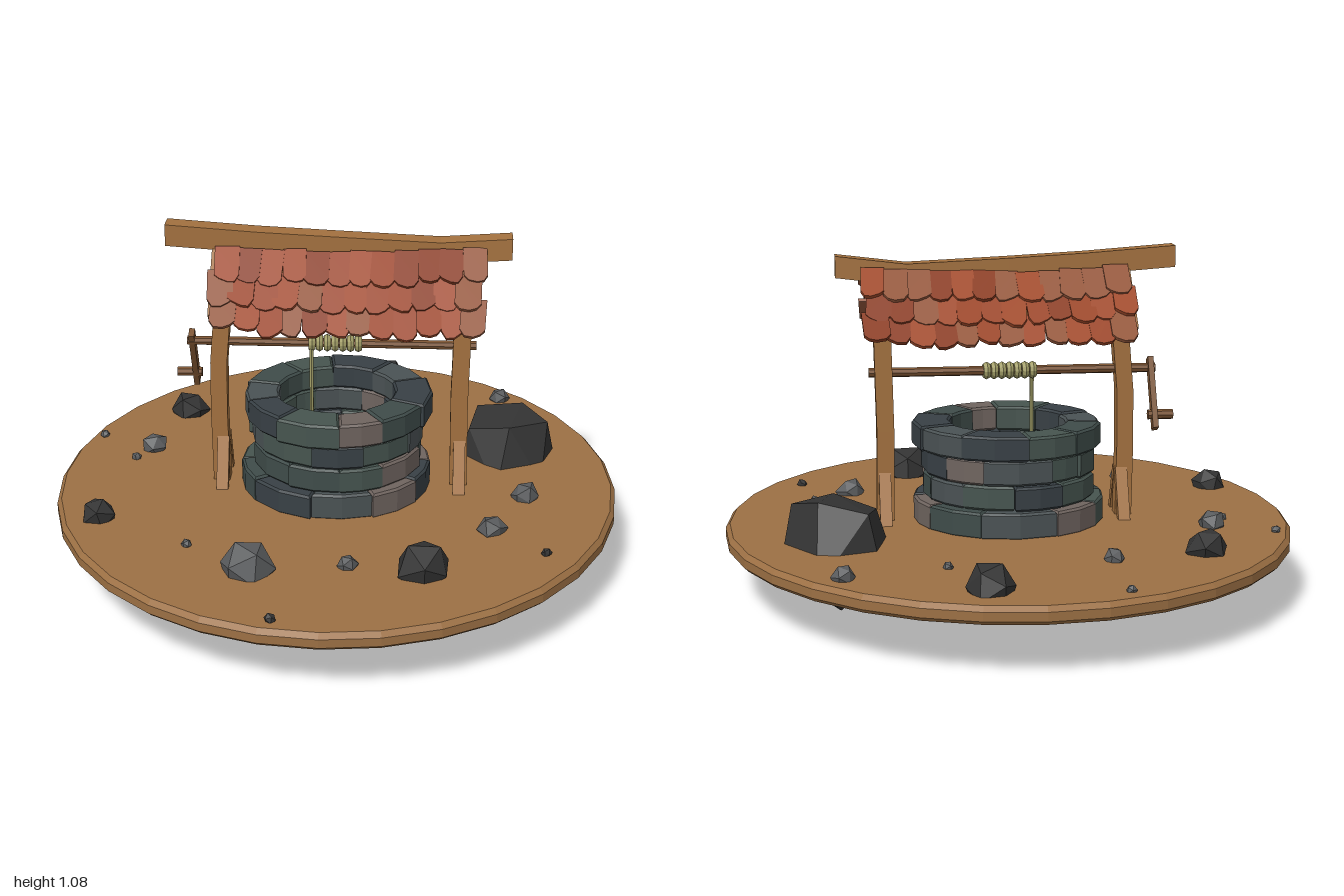
import * as THREE from 'three';
import { ConvexGeometry } from 'three/addons/geometries/ConvexGeometry.js';

const mat = (color, side = THREE.FrontSide) =>
  new THREE.MeshStandardMaterial({ color, flatShading: true, side });
const wood = mat(0xa3713f), darkWood = mat(0x7a5230), earth = mat(0x9c7044), ropeMat = mat(0xa39f68);
const rockMats = [mat(0x5a5c5e), mat(0x333333)];
const stoneMats = [0x46544f, 0x384045, 0x6f645f, 0x3f4c4a, 0x4a5254].map((c) => mat(c));
const tileMats = [0x9a4526, 0x8a3c20, 0x94573b, 0xa04a2a].map((c) => mat(c));

// small seeded generator
let seed = 7;
const rnd = () => (seed = (seed * 16807) % 2147483647) / 2147483647;
const jit = (a) => (rnd() * 2 - 1) * a;
const pick = (list) => list[Math.floor(rnd() * list.length)];

function add(parent, name, geometry, material) {
  const mesh = new THREE.Mesh(geometry, material);
  mesh.name = name;
  parent.add(mesh);
  return mesh;
}

// rectangular timber between two points
function strut(parent, name, a, b, w, h, material = wood) {
  const A = new THREE.Vector3(...a), B = new THREE.Vector3(...b);
  const m = add(parent, name, new THREE.BoxGeometry(w, h, A.distanceTo(B)), material);
  m.position.copy(A).lerp(B, 0.5);
  m.lookAt(B);
  return m;
}

// timber swept through rectangular cross-sections [x, y, z]; axis is 'x' or 'y'
function bentTimber(parent, name, stations, axis, w, d) {
  const n = stations.length - 1;
  const geo = axis === 'y' ? new THREE.BoxGeometry(w, n, d, 1, n, 1) : new THREE.BoxGeometry(n, w, d, n, 1, 1);
  const p = geo.attributes.position;
  for (let i = 0; i < p.count; i++) {
    const t = Math.round((axis === 'y' ? p.getY(i) : p.getX(i)) + n / 2);
    const [x, y, z] = stations[t];
    if (axis === 'y') p.setXYZ(i, x + p.getX(i), y, z + p.getZ(i));
    else p.setXYZ(i, x, y + p.getY(i), z + p.getZ(i));
  }
  return add(parent, name, geo, wood);
}

function rod(parent, name, x0, x1, y, z, r, material) {
  const m = add(parent, name, new THREE.CylinderGeometry(r, r, x1 - x0, 8), material);
  m.rotation.z = Math.PI / 2;
  m.position.set((x0 + x1) / 2, y, z);
  return m;
}

// curved wall stone lying between two angles
function stoneGeometry(a0, a1, rIn, rOut, height) {
  const bevel = 0.007, shape = new THREE.Shape(), pts = [];
  const at = (r, a) => new THREE.Vector2(Math.cos(a) * r, Math.sin(a) * r);
  const mid = (a0 + a1) / 2, g = bevel / rOut, gi = bevel / rIn;
  for (const a of [a0 + g, mid, a1 - g]) pts.push(at(rOut - bevel, a));
  for (const a of [a1 - gi, mid, a0 + gi]) pts.push(at(rIn + bevel, a));
  shape.setFromPoints(pts);
  const geo = new THREE.ExtrudeGeometry(shape, {
    depth: height - 2 * bevel, bevelThickness: bevel, bevelSize: bevel, bevelSegments: 1, steps: 1,
  });
  return geo.translate(0, 0, bevel).rotateX(-Math.PI / 2);
}

function buildWall() {
  const wall = new THREE.Group();
  wall.name = 'stoneWall';
  const courses = [[0.205, 0.085, 0.3], [0.29, 0.08, 0.275], [0.37, 0.08, 0.275], [0.45, 0.08, 0.3]];
  courses.forEach(([y, h, r], row) => {
    const n = 10, cuts = [];
    for (let i = 0; i < n; i++) cuts.push(((i + row * 0.5 + jit(0.2)) / n) * Math.PI * 2);
    cuts.push(cuts[0] + Math.PI * 2);
    for (let i = 0; i < n; i++) {
      const geo = stoneGeometry(cuts[i], cuts[i + 1], 0.19 + jit(0.006), r + jit(0.008), h - 0.002 + jit(0.003));
      add(wall, 'wallStone', geo, pick(stoneMats)).position.y = y;
    }
  });
  return wall;
}

// shingle hanging down from its origin, with a rounded lower end
function tileGeometry(w, len) {
  const s = new THREE.Shape(), h = w / 2, k = jit(0.008);
  s.moveTo(-h, 0);
  s.lineTo(-h, -len * 0.8);
  s.lineTo(-h * 0.6, -len * 0.95 + k);
  s.lineTo(0.1 * h, -len);
  s.lineTo(h * 0.65, -len * 0.95 - k);
  s.lineTo(h, -len * 0.8);
  s.lineTo(h, 0);
  return new THREE.ExtrudeGeometry(s, { depth: 0.012, bevelEnabled: false });
}

function buildRoofSide(name) {
  const side = new THREE.Group();
  side.name = name;
  const slope = 0.78;
  for (let row = 0; row < 3; row++) {
    const n = 12, pitch = 0.83 / n;
    for (let i = 0; i < n; i++) {
      const x = -0.37 + (i + 0.5 - (row % 2) * 0.25) * pitch;
      const sag = 0.018 * (1 - ((x - 0.03) / 0.42) ** 2);
      const s = row * 0.085 + jit(0.005);
      const tile = add(side, 'roofTile', tileGeometry(pitch * (1.08 + jit(0.1)), 0.125 + jit(0.008)), pick(tileMats));
      tile.position.set(x, 1.015 - sag - s * Math.cos(slope), 0.035 + s * Math.sin(slope));
      tile.rotation.set(-slope - 0.1 + jit(0.04), 0, jit(0.06));
    }
  }
  // battens under the tiles
  for (const s of [0.07, 0.2])
    strut(side, 'batten', [-0.38, 0.985 - s * 0.71, 0.025 + s * 0.7], [0.42, 0.985 - s * 0.71, 0.025 + s * 0.7], 0.022, 0.022);
  return side;
}

function buildFrame() {
  const frame = new THREE.Group();
  frame.name = 'timberFrame';
  bentTimber(frame, 'rightPost', [[-0.373, 0.2, 0], [-0.377, 0.45, 0], [-0.375, 0.62, 0], [-0.358, 0.82, 0], [-0.355, 1.02, 0]], 'y', 0.053, 0.053);
  bentTimber(frame, 'leftPost', [[0.393, 0.2, 0], [0.39, 0.5, 0], [0.397, 0.82, 0], [0.395, 1.0, 0]], 'y', 0.055, 0.053);
  bentTimber(frame, 'ridgeBeam', [[-0.53, 1.045, 0.004], [-0.25, 1.025, 0], [0, 1.012, -0.004], [0.32, 0.998, -0.006], [0.54, 1.022, 0.02]], 'x', 0.068, 0.066);
  for (const x of [-0.365, 0.394]) {
    for (const s of [-1, 1]) {
      strut(frame, 'footBrace', [x, 0.2, s * 0.09], [x, 0.36, s * 0.015], 0.038, 0.03);
      strut(frame, 'rafter', [x, 1.0, s * 0.015], [x, 0.835, s * 0.185], 0.04, 0.032);
      strut(frame, 'roofBrace', [x, 0.83, s * 0.015], [x, 0.92, s * 0.1], 0.034, 0.028);
    }
  }
  return frame;
}

function buildWinch() {
  const winch = new THREE.Group();
  winch.name = 'winch';
  rod(winch, 'axle', -0.475, 0.44, 0.685, 0, 0.015, darkWood);
  strut(winch, 'crankArm', [-0.46, 0.715, 0.01], [-0.46, 0.505, -0.1], 0.018, 0.035, darkWood);
  rod(winch, 'crankHandle', -0.52, -0.44, 0.547, -0.075, 0.016, darkWood);
  for (let i = 0; i < 7; i++) {
    const coil = add(winch, 'ropeCoil', new THREE.TorusGeometry(0.016, 0.0125, 6, 12), ropeMat);
    coil.rotation.y = Math.PI / 2 + 0.08;
    coil.position.set(-0.08 + i * 0.0245, 0.685, 0);
  }
  const rope = add(winch, 'hangingRope', new THREE.CylinderGeometry(0.007, 0.007, 0.46, 6), ropeMat);
  rope.position.set(-0.08, 0.455, 0.016);
  return winch;
}

// faceted stone: an icosahedron with each corner pushed in or out
function rockGeometry(r) {
  const pts = [], p = new THREE.IcosahedronGeometry(1, 0).attributes.position, seen = new Set();
  for (let i = 0; i < p.count; i++) {
    const v = new THREE.Vector3().fromBufferAttribute(p, i);
    const key = v.toArray().map((c) => c.toFixed(2)).join();
    if (seen.has(key)) continue;
    seen.add(key);
    pts.push(v.multiplyScalar(r * (1.06 + jit(0.12))));
  }
  return new ConvexGeometry(pts);
}

function buildRocks() {
  const rocks = new THREE.Group();
  rocks.name = 'rocks';
  // x, z, radius, dark
  const spots = [
    [-0.25, -0.88, 0.016, 0], [0.14, -0.83, 0.072, 1], [0.545, -0.675, 0.033, 0], [0.24, -0.595, 0.016, 0],
    [-0.255, -0.565, 0.032, 0], [-0.545, -0.51, 0.064, 1], [-0.81, -0.295, 0.016, 0], [-0.625, -0.205, 0.044, 0],
    [-0.675, -0.12, 0.016, 0], [-0.73, 0.315, 0.054, 1], [-0.43, 0.49, 0.016, 0], [-0.235, 0.63, 0.082, 0],
    [0.06, 0.6, 0.032, 0], [0.29, 0.62, 0.08, 1], [0.495, 0.345, 0.044, 0], [0.605, 0.11, 0.044, 0],
    [0.655, 0.49, 0.016, 1], [-0.14, 0.925, 0.017, 1],
  ];
  for (const [x, z, r, dark] of spots) {
    const rock = add(rocks, 'rock', rockGeometry(r), rockMats[dark]);
    rock.position.set(x, 0.212 + r * 0.15, z);
    rock.rotation.set(jit(0.5), jit(3), 0);
  }
  const boulder = [
    [0.545, 0, -0.295], [0.73, 0.13, -0.3], [0.62, 0.12, -0.47], [0.42, 0.13, -0.4], [0.39, 0.17, -0.22],
    [0.52, 0.14, -0.06], [0.67, 0.15, -0.13], [0.69, 0.325, -0.23], [0.61, 0.35, -0.33], [0.46, 0.32, -0.37],
    [0.43, 0.3, -0.22], [0.56, 0.335, -0.15],
  ].map((p) => new THREE.Vector3(...p));
  add(rocks, 'boulder', new ConvexGeometry(boulder), rockMats[1]);
  return rocks;
}

export function createModel() {
  seed = 7;
  const model = new THREE.Group();
  model.name = 'well';

  // oval ground slab with chamfered rim
  const profile = [[0, 0.155], [0.985, 0.155], [1, 0.168], [1, 0.195], [0.985, 0.21], [0, 0.21]].map((p) => new THREE.Vector2(...p));
  add(model, 'ground', new THREE.LatheGeometry(profile, 32), earth).scale.x = 0.9;

  const back = buildRoofSide('backRoof');
  back.scale.z = -1;
  model.add(buildWall(), buildFrame(), buildRoofSide('frontRoof'), back, buildWinch(), buildRocks());
  return model;
}
